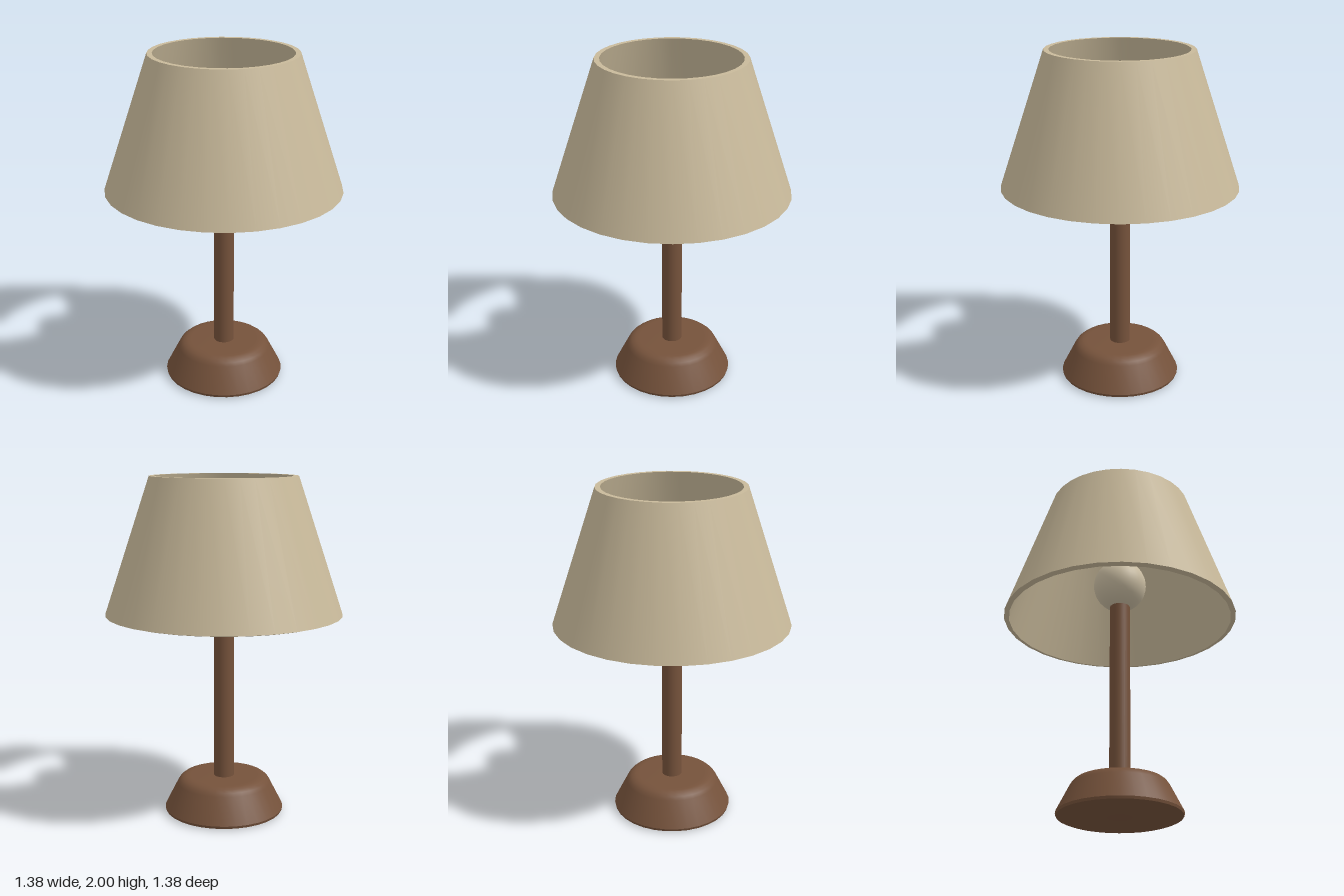
import * as THREE from 'three';
import { toCreasedNormals } from 'three/addons/utils/BufferGeometryUtils.js';

const SIDES = 32;

// Turned part from a list of [radius, height] points, keeping sharp edges sharp
function turned(name, profile, material) {
  const points = profile.map(([r, y]) => new THREE.Vector2(r, y));
  const geometry = toCreasedNormals(new THREE.LatheGeometry(points, SIDES), 0.6);
  const mesh = new THREE.Mesh(geometry, material);
  mesh.name = name;
  return mesh;
}

export function createModel() {
  const wood = new THREE.MeshStandardMaterial({ color: 0x75523b });
  wood.name = 'brown wood';
  const fabric = new THREE.MeshStandardMaterial({ color: 0xc8b99a });
  fabric.name = 'cream fabric';
  const glass = new THREE.MeshStandardMaterial({ color: 0xcbbea3 });
  glass.name = 'pale glass';

  const lamp = new THREE.Group();
  lamp.name = 'tableLamp';

  // Tapered foot with a small lower bevel and a rounded shoulder
  lamp.add(turned('base', [
    [0, 0], [0.335, 0], [0.352, 0.007], [0.356, 0.022],
    [0.28, 0.172], [0.268, 0.191], [0.25, 0.206], [0.225, 0.214], [0.2, 0.215], [0, 0.215],
  ], wood));

  // Straight stem up to the bulb
  const stem = new THREE.Mesh(new THREE.CylinderGeometry(0.06, 0.06, 1.1, SIDES), wood);
  stem.name = 'stem';
  stem.position.y = 0.75;
  lamp.add(stem);

  // Round bulb
  const bulb = new THREE.Mesh(new THREE.SphereGeometry(0.158, SIDES, 20), glass);
  bulb.name = 'bulb';
  bulb.position.y = 1.44;
  lamp.add(bulb);

  // Open conical shade with thickness: outer wall, top rim, inner wall, bottom rim
  lamp.add(turned('shade', [
    [0.662, 1.2], [0.692, 1.208], [0.427, 2], [0.397, 2], [0.662, 1.2],
  ], fabric));

  return lamp;
}
